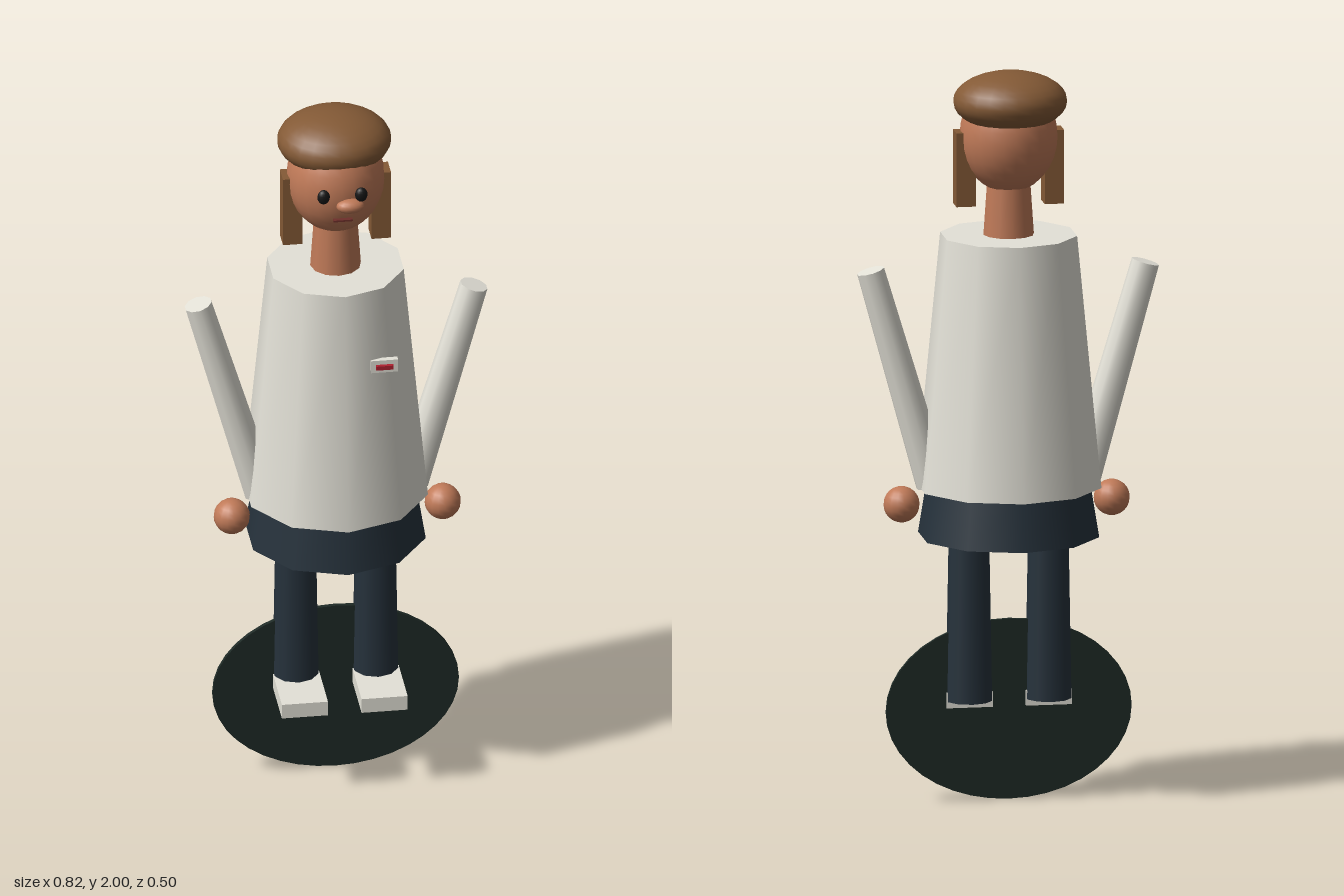
import * as THREE from 'three';

export function createModel() {
  const model = new THREE.Group();
  const mat = (color) => new THREE.MeshStandardMaterial({ color });
  const cloth = mat(0xe4e2d8), skin = mat(0xc07a58), hair = mat(0x845a36);
  const navy = mat(0x26323c), dark = mat(0x1e2a26), black = mat(0x161616), red = mat(0xb02030);

  const add = (name, geometry, material, x, y, z) => {
    const mesh = new THREE.Mesh(geometry, material);
    mesh.name = name;
    mesh.position.set(x, y, z);
    model.add(mesh);
    return mesh;
  };
  const ellipsoid = (rx, ry, rz, w = 24, h = 16) => new THREE.SphereGeometry(1, w, h).scale(rx, ry, rz);
  const taper = (top, bottom, height, sides) => new THREE.CylinderGeometry(top, bottom, height, sides);
  const box = (w, h, d) => new THREE.BoxGeometry(w, h, d);

  // Upright oval disc behind the feet
  const disc = new THREE.CylinderGeometry(1, 1, 1, 40).rotateX(Math.PI / 2).scale(0.334, 0.247, 0.012);
  add('ovalDisc', disc, dark, 0, 0.247, 0);

  // Ten-sided coat and trouser top
  add('coat', taper(0.186, 0.252, 0.69, 10), cloth, 0, 1.204, 0);
  add('hips', taper(0.222, 0.246, 0.145, 10), navy, 0, 0.7965, 0);

  // Neck, head and cap of hair
  add('neck', taper(0.058, 0.069, 0.16, 12), skin, 0, 1.625, 0);
  add('head', ellipsoid(0.132, 0.155, 0.132), skin, 0, 1.82, 0);
  add('hairCap', ellipsoid(0.154, 0.08, 0.14), hair, 0, 1.92, -0.025);

  // Face
  add('nose', ellipsoid(0.038, 0.02, 0.024, 16, 12), skin, 0.021, 1.8, 0.134);
  add('mouth', box(0.052, 0.005, 0.012), mat(0x6e2f2a), 0, 1.762, 0.14);

  // Chest badge on the left side
  add('badge', box(0.074, 0.037, 0.016), cloth, 0.106, 1.328, 0.18);
  add('badgeStripe', box(0.047, 0.012, 0.012), red, 0.106, 1.328, 0.192);

  // Mirrored pairs
  for (const [side, s] of [['left', 1], ['right', -1]]) {
    add(side + 'Eye', ellipsoid(0.017, 0.021, 0.013, 14, 10), black, s * 0.051, 1.832, 0.132);
    add(side + 'HairLock', box(0.053, 0.202, 0.058), hair, s * 0.12, 1.734, 0);
    const arm = add(side + 'Arm', taper(0.038, 0.047, 0.615, 10), cloth, s * 0.289, 1.163, 0.01);
    arm.rotation.z = -s * 0.28;
    add(side + 'Hand', ellipsoid(0.049, 0.049, 0.049, 16, 12), skin, s * 0.286, 0.81, 0.033);
    add(side + 'Leg', taper(0.055, 0.063, 0.46, 10), navy, s * 0.108, 0.503, 0);
    add(side + 'Shoe', box(0.125, 0.042, 0.19), cloth, s * 0.108, 0.276, 0.081);
  }
  return model;
}
